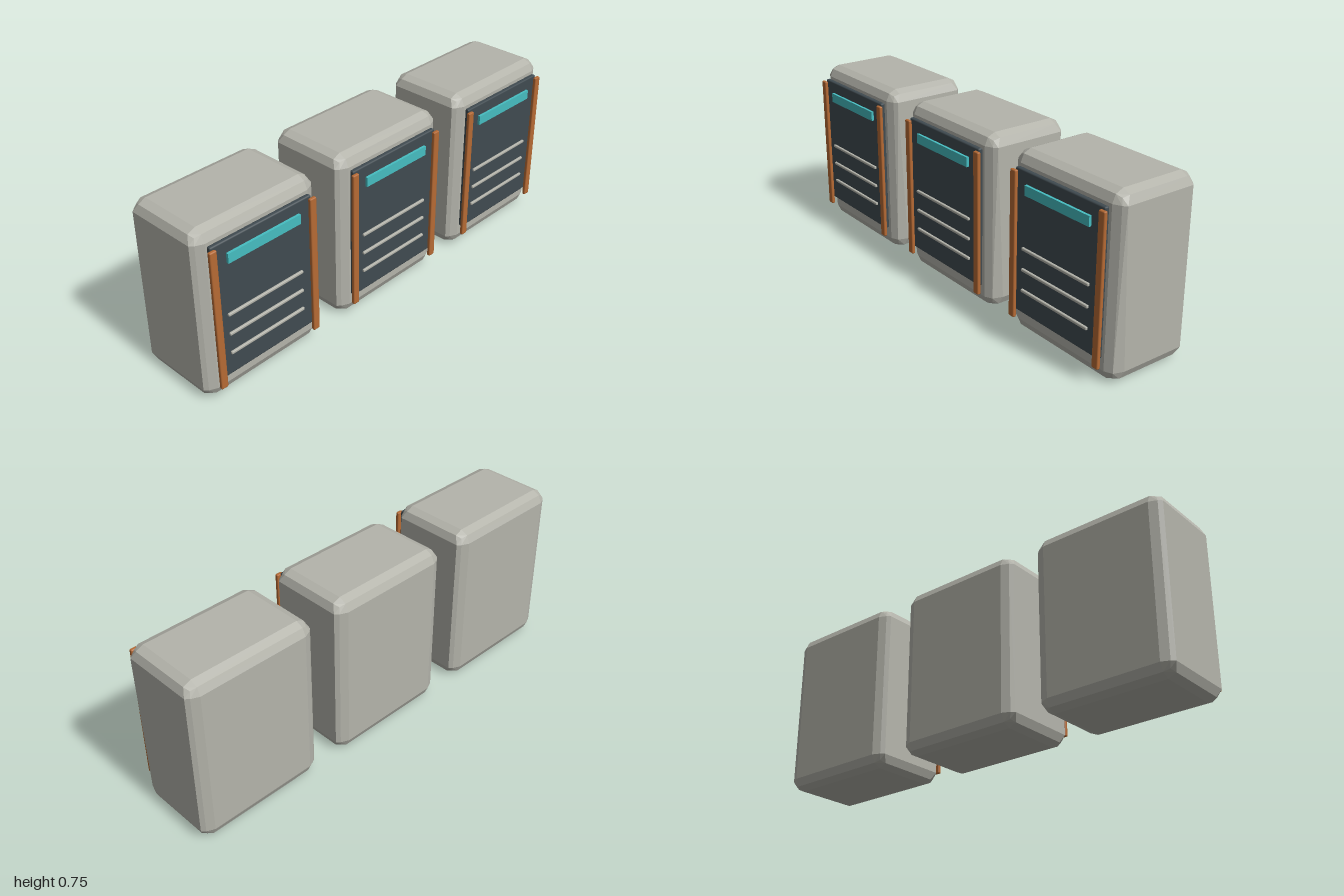
import * as THREE from 'three';
import { ConvexGeometry } from 'three/addons/geometries/ConvexGeometry.js';
import { RoundedBoxGeometry } from 'three/addons/geometries/RoundedBoxGeometry.js';

function material(name, color) {
  const m = new THREE.MeshStandardMaterial({ color });
  m.name = name;
  return m;
}

// Box with two-step bevels: face, edge and corner points of each corner, hulled
function bevelledBox(w, h, d, inset, edge, corner) {
  const points = [];
  for (const sx of [-1, 1]) for (const sy of [-1, 1]) for (const sz of [-1, 1]) {
    const add = (x, y, z) =>
      points.push(new THREE.Vector3(sx * (w / 2 - x), sy * (h / 2 - y), sz * (d / 2 - z)));
    // the front side edges are cut a little wider towards the bottom
    const side = sx > 0 && sz > 0 && sy < 0 ? inset + 0.01 : inset * 0.6;
    add(0, inset, side);
    add(inset, 0, inset);
    add(inset, inset, 0);
    add(edge, edge, inset);
    add(edge, inset, edge);
    add(inset, edge, edge);
    add(corner, corner, corner);
  }
  return new ConvexGeometry(points);
}

export function createModel() {
  const group = new THREE.Group();
  group.name = 'cabinetRow';

  const shell = material('warm grey shell', 0xb4b4ab);
  const slate = material('dark slate', 0x404b51);
  const copper = material('copper', 0xb66a34);
  const teal = material('teal', 0x46bdc1);

  const bodyGeo = bevelledBox(0.582, 0.75, 0.374, 0.048, 0.015, 0.024);
  const panelGeo = new RoundedBoxGeometry(0.48, 0.592, 0.02, 1, 0.006);
  const railGeo = new RoundedBoxGeometry(0.032, 0.615, 0.016, 1, 0.005);
  const stripGeo = new THREE.BoxGeometry(0.348, 0.041, 0.012);
  const slatGeo = new RoundedBoxGeometry(0.37, 0.013, 0.012, 1, 0.004);

  for (const x of [-0.708, -0.003, 0.702]) {
    const cabinet = new THREE.Group();
    cabinet.name = 'cabinet';
    cabinet.position.x = x;
    const add = (name, geo, mat, px, py, pz) => {
      const mesh = new THREE.Mesh(geo, mat);
      mesh.name = name;
      mesh.position.set(px, py, pz);
      cabinet.add(mesh);
    };

    add('body', bodyGeo, shell, 0, 0.375, -0.02);
    add('frontPanel', panelGeo, slate, -0.002, 0.398, 0.182);

    // Upright rails on both sides of the panel
    for (const s of [-1, 1]) add('rail', railGeo, copper, -0.002 + s * 0.238, 0.378, 0.2);

    // Light strip and three vent slats
    add('lightStrip', stripGeo, teal, -0.001, 0.622, 0.197);
    for (const y of [0.203, 0.291, 0.379]) add('ventSlat', slatGeo, shell, -0.006, y, 0.196);

    group.add(cabinet);
  }
  return group;
}
